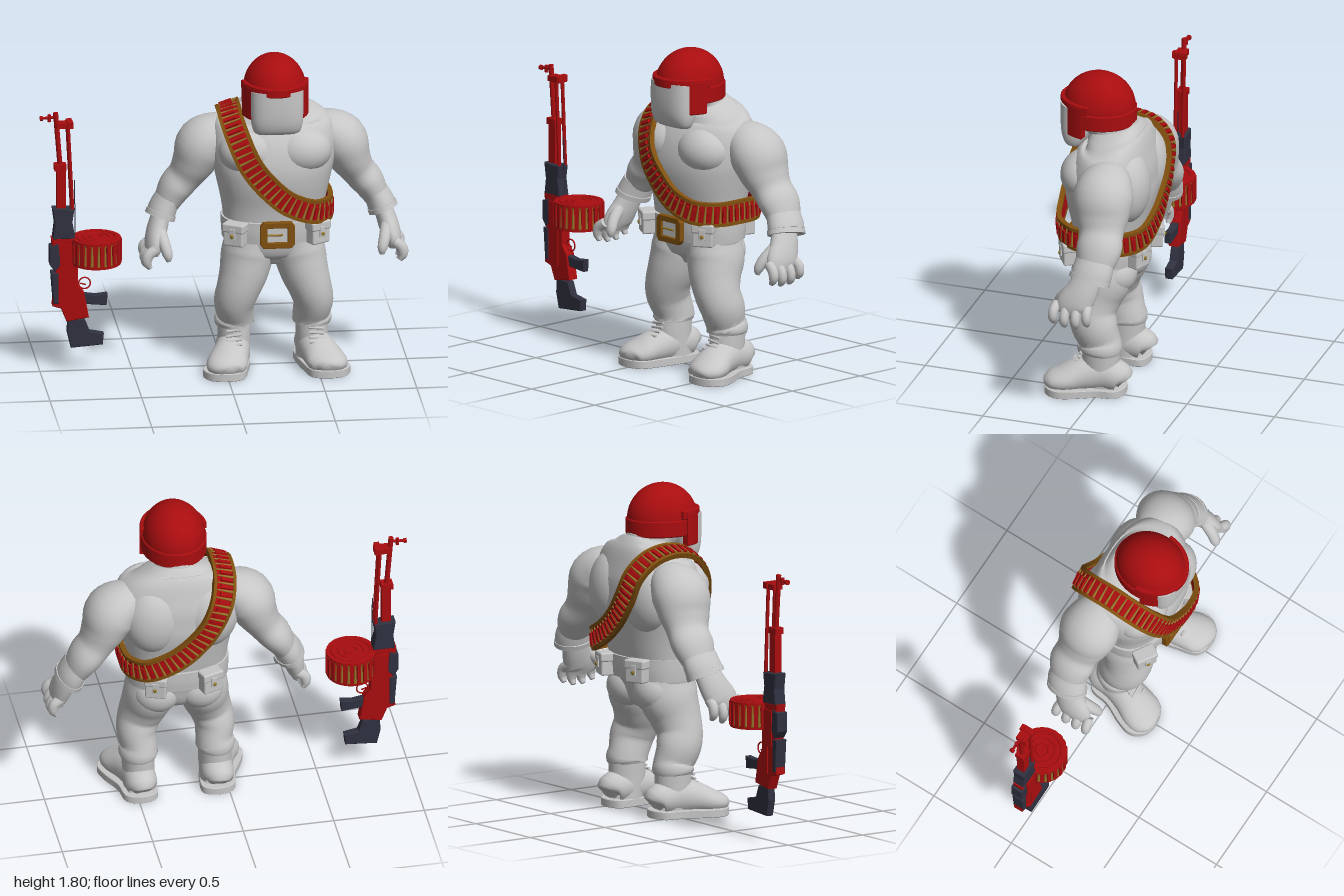
import * as THREE from 'three';
import { mergeGeometries, toCreasedNormals } from 'three/addons/utils/BufferGeometryUtils.js';
import { RoundedBoxGeometry } from 'three/addons/geometries/RoundedBoxGeometry.js';

const V = (x, y, z) => new THREE.Vector3(x, y, z);
const mat = (name, color) => Object.assign(new THREE.MeshStandardMaterial({ color }), { name });

// Smooth closed solid through elliptical rings [x, y, z, a, b]; b lies along ref, n squares the section
function loft(rings, { ref = V(0, 0, 1), n = 2, sub = 4, seg = 24 } = {}) {
  const path = new THREE.CatmullRomCurve3(rings.map(r => V(r[0], r[1], r[2])), false, 'catmullrom');
  const size = new THREE.CatmullRomCurve3(rings.map(r => V(r[3], r[4], 0)), false, 'catmullrom');
  const steps = (rings.length - 1) * sub, pos = [], idx = [];
  const pw = v => Math.sign(v) * Math.abs(v) ** (2 / n);
  for (let i = 0; i <= steps; i++) {
    const p = path.getPoint(i / steps), r = size.getPoint(i / steps), T = path.getTangent(i / steps);
    const B = ref.clone().addScaledVector(T, -ref.dot(T)).normalize(), A = T.clone().cross(B);
    for (let j = 0; j < seg; j++) {
      const t = j / seg * Math.PI * 2;
      const q = p.clone().addScaledVector(A, r.x * pw(Math.cos(t))).addScaledVector(B, r.y * pw(Math.sin(t)));
      pos.push(q.x, q.y, q.z);
    }
  }
  for (let i = 0; i < steps; i++) for (let j = 0; j < seg; j++) {
    const a = i * seg + j, b = i * seg + (j + 1) % seg, c = a + seg, d = b + seg;
    idx.push(a, c, b, b, c, d);
  }
  const first = path.getPoint(0), last = path.getPoint(1), c0 = pos.length / 3, top = steps * seg;
  pos.push(first.x, first.y, first.z, last.x, last.y, last.z);
  for (let j = 0; j < seg; j++) {
    const k = (j + 1) % seg;
    idx.push(c0, j, k, c0 + 1, top + k, top + j);
  }
  const g = new THREE.BufferGeometry();
  g.setAttribute('position', new THREE.Float32BufferAttribute(pos, 3));
  g.setIndex(idx);
  return toCreasedNormals(g, 1);
}

// Flat outline in xy, extruded and centred on z
function prism(points, depth, z = 0, bevel = 0.004) {
  const g = new THREE.ExtrudeGeometry(new THREE.Shape(points.map(p => new THREE.Vector2(...p))),
    { depth: depth - 2 * bevel, bevelEnabled: bevel > 0, bevelSize: bevel, bevelThickness: bevel, bevelSegments: 1 });
  return g.translate(0, 0, z - depth / 2 + bevel);
}

// Curved wall around y; angle 0 faces the front
function arcBand(rx, rz, t, y0, y1, a0, a1) {
  const pts = [], N = 32;
  for (let i = 0; i <= N; i++) { const a = a0 + (a1 - a0) * i / N; pts.push([rx * Math.sin(a), rz * Math.cos(a)]); }
  for (let i = N; i >= 0; i--) { const a = a0 + (a1 - a0) * i / N; pts.push([(rx - t) * Math.sin(a), (rz - t) * Math.cos(a)]); }
  return toCreasedNormals(prism(pts, y1 - y0, 0, 0.005).rotateX(Math.PI / 2).translate(0, (y0 + y1) / 2, 0), 0.5);
}

function rod(a, b, r, seg = 10) {
  const d = b.clone().sub(a), g = new THREE.CylinderGeometry(r, r, d.length(), seg);
  g.applyQuaternion(new THREE.Quaternion().setFromUnitVectors(V(0, 1, 0), d.normalize()));
  return g.translate((a.x + b.x) / 2, (a.y + b.y) / 2, (a.z + b.z) / 2);
}
const box = (w, h, d, x, y, z) => new THREE.BoxGeometry(w, h, d).translate(x, y, z);
const ball = (rx, ry, rz, x, y, z) => new THREE.SphereGeometry(1, 28, 20).scale(rx, ry, rz).translate(x, y, z);

export function createModel() {
  const grey = mat('light grey', 0xc6c6c6), red = mat('red', 0xa90d0f), brown = mat('brown leather', 0x80500f);
  const gold = mat('brass', 0x94762a), dark = mat('dark slate', 0x303140);
  const model = new THREE.Group(), body = new THREE.Group(), gun = new THREE.Group();
  body.name = 'figure'; gun.name = 'machineGun';
  body.position.x = 0.27;
  model.add(body, gun);
  const add = (parent, name, geo, m) => {
    const mesh = new THREE.Mesh(geo, m);
    mesh.name = name;
    parent.add(mesh);
    return mesh;
  };

  // Torso, neck and head
  add(body, 'torso', loft([[0, .59, .02, .1, .08], [0, .65, .01, .22, .14], [0, .74, .015, .265, .17], [0, .85, .01, .272, .185],
    [0, .96, .005, .285, .205], [0, 1.1, .005, .315, .235], [0, 1.2, 0, .335, .238], [0, 1.32, -.02, .34, .215],
    [0, 1.41, -.03, .31, .175], [0, 1.46, -.02, .21, .15], [0, 1.5, -.01, .13, .13]], { n: 2.3, seg: 40 }), grey);
  add(body, 'neck', loft([[0, 1.4, -.01, .17, .15], [0, 1.5, 0, .13, .135], [0, 1.56, .04, .14, .15], [0, 1.62, .06, .155, .17]]), grey);
  add(body, 'face', loft([[0, 1.385, .205, .1, .035], [0, 1.4, .203, .125, .055], [0, 1.45, .2, .14, .077],
    [0, 1.53, .195, .144, .09], [0, 1.63, .185, .147, .1]], { n: 2.6, seg: 36 }), grey);
  for (const s of [-1, 1]) {
    add(body, 'chestMuscle', ball(.165, .135, .14, s * .145, 1.26, .105), grey);
    add(body, 'backMuscle', ball(.165, .21, .125, s * .15, 1.22, -.13), grey);
    add(body, 'buttock', ball(.13, .12, .11, s * .12, .68, -.06), grey);
  }

  // Helmet: dome, brow, rear skirt and ear flaps
  const helmet = new THREE.Group();
  helmet.name = 'helmet'; helmet.position.z = .08;
  body.add(helmet);
  add(helmet, 'dome', new THREE.SphereGeometry(1, 40, 20, 0, Math.PI * 2, 0, Math.PI / 2).scale(.17, .19, .2).translate(0, 1.61, 0), red);
  add(helmet, 'domeBase', new THREE.CylinderGeometry(1, 1, .02, 40).scale(.168, 1, .198).translate(0, 1.615, 0), red);
  add(helmet, 'brow', arcBand(.178, .209, .03, 1.615, 1.665, -1.5, 1.5), red);
  add(helmet, 'rearSkirt', arcBand(.173, .202, .03, 1.525, 1.615, 1.3, Math.PI * 2 - 1.3), red);
  for (const s of [-1, 1]) add(helmet, 'earFlap', arcBand(.18, .21, .025, 1.47, 1.655, s * 1.13 - .22, s * 1.13 + .22), red);

  // Arms with gloves
  for (const s of [-1, 1]) {
    const m = rings => rings.map(([x, ...r]) => [s * x, ...r]);
    add(body, 'arm', loft(m([[.22, 1.34, -.06, .05, .07], [.285, 1.325, -.065, .105, .13], [.375, 1.255, -.07, .142, .165],
      [.425, 1.15, -.08, .118, .148], [.47, 1.07, -.09, .095, .122], [.525, 1.0, -.095, .09, .125], [.572, .915, -.085, .07, .1],
      [.6, .86, -.07, .055, .08]]), { seg: 28 }), grey);
    add(body, 'gloveCuff', loft(m([[.566, .945, -.085, .07, .108], [.59, .895, -.08, .076, .113], [.607, .85, -.07, .078, .112]])), grey);
    add(body, 'cuffRim', loft(m([[.6, .868, -.073, .083, .117], [.61, .842, -.068, .083, .117]])), grey);
    add(body, 'palm', loft(m([[.605, .86, -.06, .05, .08], [.63, .78, -.03, .055, .09], [.65, .71, .005, .05, .1], [.66, .66, .01, .035, .09]])), grey);
    for (let i = 0; i < 4; i++) {
      const z = .1 - i * .058, drop = [.015, 0, 0, .02][i];
      add(body, 'finger', loft(m([[.65, .71, z, .028, .027], [.69, .665 + drop, z * 1.08, .03, .027],
        [.698, .625 + drop, z * 1.1, .026, .025], [.68, .592 + drop, z * 1.1, .013, .013]]), { seg: 12 }), grey);
    }
    add(body, 'thumb', loft(m([[.62, .79, .02, .035, .035], [.6, .73, .085, .032, .032], [.585, .68, .115, .027, .027], [.582, .645, .12, .012, .012]]), { seg: 12 }), grey);

    // Legs and boots
    add(body, 'trouserLeg', loft(m([[.13, .74, .015, .13, .165], [.142, .65, .02, .142, .17], [.165, .55, .045, .132, .148],
      [.195, .46, .055, .118, .132], [.215, .38, .035, .11, .128], [.208, .3, .008, .1, .116], [.212, .262, 0, .108, .118], [.212, .24, 0, .1, .11]]), { seg: 28 }), grey);
    add(body, 'bootShaft', loft(m([[.21, .04, -.01, .085, .1], [.212, .15, 0, .088, .105], [.212, .27, -.005, .09, .102]])), grey);
    add(body, 'bootFoot', loft(m([[.21, .08, -.13, .05, .05], [.212, .1, -.105, .085, .085], [.217, .11, 0, .092, .1], [.24, .1, .1, .1, .092],
      [.272, .075, .2, .112, .068], [.28, .062, .26, .09, .05], [.28, .05, .285, .035, .025]]), { ref: V(0, 1, 0) }), grey);
    const sole = new THREE.CatmullRomCurve3([[.13, -.11], [.21, -.14], [.295, -.11], [.32, 0], [.378, .12], [.397, .2], [.36, .265], [.28, .288],
      [.19, .26], [.155, .15], [.128, 0]].map(([x, z]) => V(s * x, z, 0)), true).getPoints(48).slice(0, -1).map(p => [p.x, p.y]);
    add(body, 'bootSole', toCreasedNormals(prism(sole, .044, 0, .003).rotateX(Math.PI / 2).translate(0, .024, 0), .6), grey);
    for (const [y, z] of [[.235, .102], [.21, .11], [.188, .128], [.17, .155]])
      add(body, 'bootLace', rod(V(s * .185, y, z), V(s * .265, y - .008, z), .008, 8), grey);
  }

  // Belt, buckle and pouches
  add(body, 'belt', loft([[0, .752, .01, .28, .197], [0, .81, .01, .284, .204], [0, .872, .01, .284, .206]], { n: 2.3, seg: 40 }), grey);
  const frame = new THREE.Shape([[-.075, -.07], [.075, -.07], [.09, -.05], [.09, .05], [.075, .07], [-.075, .07], [-.09, .05], [-.09, -.05]].map(p => new THREE.Vector2(...p)));
  frame.holes.push(new THREE.Path([[-.06, -.045], [-.06, .045], [.06, .045], [.06, -.045]].map(p => new THREE.Vector2(...p))));
  add(body, 'buckleFrame', new THREE.ExtrudeGeometry(frame, { depth: .025, bevelSize: .004, bevelThickness: .004, bevelSegments: 2 }).translate(0, .812, .212), brown);
  add(body, 'bucklePlate', box(.12, .09, .02, 0, .812, .214), grey);
  add(body, 'bucklePin', rod(V(-.07, .812, .23), V(.03, .812, .23), .006, 8), gold);
  for (const [x, z, turn] of [[-.225, .185, -.55], [.225, .185, .55], [-.15, -.195, Math.PI + .35], [.15, -.195, Math.PI - .35]]) {
    const pouch = new THREE.Group();
    pouch.name = 'beltPouch'; pouch.position.set(x, .81, z); pouch.rotation.y = turn;
    body.add(pouch);
    add(pouch, 'pouchBox', new RoundedBoxGeometry(.115, .12, .07, 2, .01), grey);
    add(pouch, 'pouchFlap', new RoundedBoxGeometry(.126, .05, .08, 2, .01).translate(0, .042, 0), grey);
    add(pouch, 'pouchTab', new RoundedBoxGeometry(.035, .06, .01, 1, .003).translate(0, .012, .04), grey);
    add(pouch, 'pouchStud', ball(.011, .011, .007, 0, 0, .046), gold);
  }

  // Cartridge sash: a closed loop from the right shoulder to the left hip
  const loop = new THREE.CatmullRomCurve3([[-.238, 1.465, -.03], [-.235, 1.44, .09], [-.205, 1.35, .19], [-.14, 1.21, .25], [-.045, 1.09, .262],
    [.06, 1, .262], [.19, .945, .235], [.28, .93, .14], [.3, .928, 0], [.28, .928, -.14], [.2, .945, -.225], [.06, 1.01, -.255],
    [-.05, 1.1, -.262], [-.14, 1.22, -.265], [-.2, 1.35, -.245], [-.23, 1.435, -.16]].map(p => V(...p)), true);
  const frameAt = t => {
    const P = loop.getPointAt(t % 1), T = loop.getTangentAt(t % 1);
    const N = P.clone().sub(V(P.x * .7, Math.min(P.y, 1.25), 0));
    N.addScaledVector(T, -N.dot(T)).normalize();
    return new THREE.Matrix4().makeBasis(T, N.clone().cross(T), N).setPosition(P);
  };
  const ribbon = (w0, w1, h0, h1, N = 120) => {
    const pos = [], idx = [], corners = [[w0, h0], [w1, h0], [w1, h1], [w0, h1]];
    for (let i = 0; i < N; i++) for (const [w, h] of corners) pos.push(...V(0, w, h).applyMatrix4(frameAt(i / N)).toArray());
    for (let i = 0; i < N; i++) for (let j = 0; j < 4; j++) {
      const a = i * 4 + j, b = i * 4 + (j + 1) % 4, c = (i + 1) % N * 4 + j, d = (i + 1) % N * 4 + (j + 1) % 4;
      idx.push(a, c, b, b, c, d);
    }
    const g = new THREE.BufferGeometry();
    g.setAttribute('position', new THREE.Float32BufferAttribute(pos, 3));
    g.setIndex(idx);
    // Corner order follows the loop direction, so flip the winding to face outward
    for (let k = 0; k < idx.length; k += 3) [idx[k + 1], idx[k + 2]] = [idx[k + 2], idx[k + 1]];
    g.setIndex(idx);
    return toCreasedNormals(g, .6);
  };
  add(body, 'sashStrap', ribbon(-.052, .052, -.004, .016), red);
  for (const s of [-1, 1]) add(body, 'sashEdge', ribbon(s * .057 - .009, s * .057 + .009, -.006, .022), brown);
  const rounds = 58, shells = [], loops = [];
  for (let i = 0; i < rounds; i++) {
    shells.push(new THREE.CylinderGeometry(.004, .008, .092, 8).translate(0, 0, .019).applyMatrix4(frameAt(i / rounds)));
    loops.push(box(.02, .07, .016, 0, -.008, .02).applyMatrix4(frameAt((i + .5) / rounds)));
  }
  add(body, 'sashCartridges', mergeGeometries(shells), gold);
  add(body, 'sashLoops', mergeGeometries(loops), red);

  // Gun body
  add(gun, 'receiver', prism([[-.935, .765], [-.81, .765], [-.8, .62], [-.8, .5], [-.765, .45], [-.74, .315], [-.855, .295], [-.885, .37], [-.93, .385], [-.915, .55]], .06), red);
  add(gun, 'receiverCover', box(.07, .2, .075, -.86, .63, 0), red);
  add(gun, 'receiverRib', box(.03, .17, .07, -.84, .46, 0), red);
  add(gun, 'sidePlate', prism([[-.945, .72], [-.905, .735], [-.895, .62], [-.92, .585], [-.945, .62]], .07), dark);
  add(gun, 'lowerPlate', prism([[-.938, .57], [-.905, .57], [-.905, .4], [-.925, .4]], .068), dark);
  add(gun, 'handguard', prism([[-.93, .935], [-.82, .93], [-.83, .86], [-.815, .77], [-.928, .77], [-.918, .85]], .07), dark);
  add(gun, 'stock', prism([[-.845, .3], [-.76, .295], [-.733, .225], [-.658, .21], [-.663, .155], [-.83, .142], [-.85, .225]], .045), dark);
  add(gun, 'grip', prism([[-.79, .445], [-.7, .43], [-.637, .437], [-.642, .378], [-.79, .393]], .04), dark);
  add(gun, 'triggerGuard', new THREE.TorusGeometry(.032, .004, 8, 24).translate(-.757, .5, 0), red);
  add(gun, 'trigger', rod(V(-.78, .5, 0), V(-.75, .49, 0), .004, 6), red);

  // Barrel, gas block, folded bipod and sights
  add(gun, 'barrel', rod(V(-.87, .92, 0), V(-.915, 1.48, 0), .014, 14), red);
  add(gun, 'gasBlock', box(.05, .24, .045, -.885, 1.06, 0), red);
  add(gun, 'gasCollar', box(.065, .035, .055, -.89, 1.17, 0), red);
  for (const s of [-1, 1]) add(gun, 'bipodLeg', rod(V(-.825, .93, s * .022), V(-.85, 1.42, s * .022), .01, 8), red);
  add(gun, 'bipodJoint', box(.09, .03, .06, -.865, 1.41, 0), red);
  add(gun, 'bipodFoot', box(.03, .035, .08, -.84, 1.415, 0), red);
  add(gun, 'frontSight', rod(V(-.995, 1.45, 0), V(-.91, 1.455, 0), .008, 8), red);
  add(gun, 'sightTip', rod(V(-.95, 1.43, 0), V(-.95, 1.47, 0), .01, 8), red);
  add(gun, 'sightBead', rod(V(-1, 1.45, 0), V(-.985, 1.45, 0), .014, 10), red);
  add(gun, 'cleaningRod', rod(V(-.808, .78, 0), V(-.812, 1.09, 0), .003, 6), dark);

  // Drum magazine ringed with cartridges
  const drum = new THREE.Group();
  drum.name = 'drumMagazine'; drum.position.set(-.693, .688, 0);
  gun.add(drum);
  add(drum, 'drumCore', new THREE.CylinderGeometry(.122, .122, .146, 44), red);
  const drumShells = [], drumLoops = [];
  for (let i = 0; i < 22; i++) {
    const a = i / 22 * Math.PI * 2, h = Math.PI / 22;
    drumShells.push(new THREE.CylinderGeometry(.004, .009, .11, 8).translate(0, 0, .127).rotateY(a));
    drumLoops.push(box(.022, .128, .022, 0, 0, .127).rotateY(a + h));
  }
  add(drum, 'drumCartridges', mergeGeometries(drumShells), gold);
  add(drum, 'drumLoops', mergeGeometries(drumLoops), red);
  for (const s of [-1, 1]) {
    add(drum, 'drumBand', new THREE.CylinderGeometry(.133, .133, .01, 44).translate(0, s * .056, 0), brown);
    add(drum, 'drumLid', new THREE.CylinderGeometry(.134, .134, .012, 44).translate(0, s * .067, 0), red);
    for (const r of [.035, .07, .105]) add(drum, 'drumRing', new THREE.TorusGeometry(r, .006, 8, 40).rotateX(Math.PI / 2).translate(0, s * .073, 0), red);
  }
  add(gun, 'drumMount', box(.06, .11, .05, -.82, .69, 0), red);
  return model;
}
